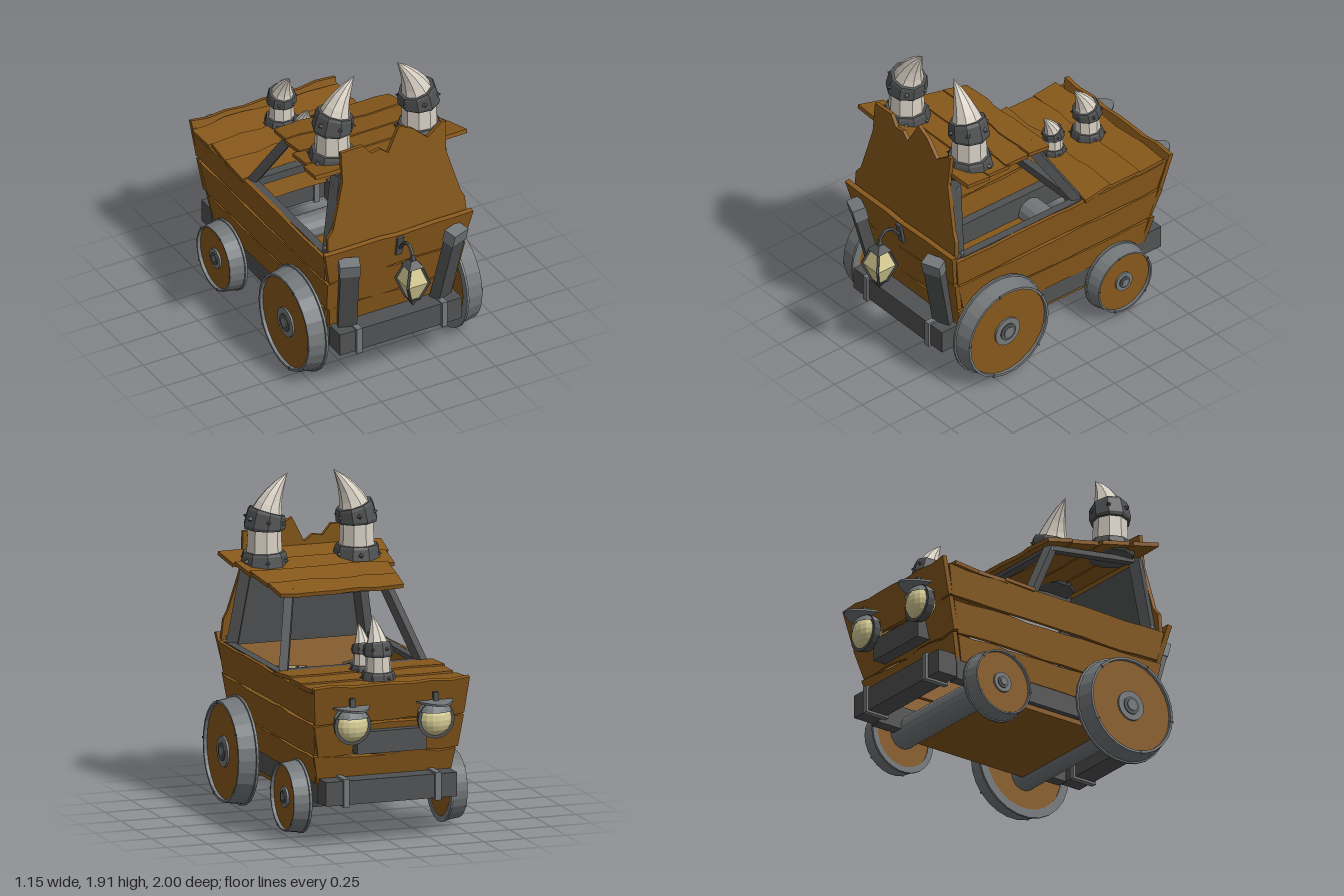
import * as THREE from 'three';

const V = (x, y, z) => new THREE.Vector3(x, y, z);
const mat = (color) => new THREE.MeshStandardMaterial({ color, flatShading: true, side: THREE.DoubleSide, roughness: 0.9 });

export function createModel() {
  const model = new THREE.Group();
  const wood = mat(0x87581b), iron = mat(0x505152), steel = mat(0x74787a), bone = mat(0xd6cec2), glass = mat(0xd8cd96);
  let seed = 7;
  const rnd = () => ((seed = (seed * 16807) % 2147483647) / 2147483647) * 2 - 1;

  function add(name, geo, material, parent = model) {
    const m = new THREE.Mesh(geo, material);
    m.name = name;
    parent.add(m);
    return m;
  }
  function box(name, material, size, pos, parent) {
    const m = add(name, new THREE.BoxGeometry(...size), material, parent);
    m.position.set(...pos);
    return m;
  }
  // Square beam between two points
  function beam(name, material, a, b, w, h, parent) {
    const m = add(name, new THREE.BoxGeometry(w, h, a.distanceTo(b)), material, parent);
    m.position.copy(a).lerp(b, 0.5);
    m.lookAt(b);
    return m;
  }
  // Closed skin over a row of rings, wound outward
  function loft(rings) {
    const tris = [], k = rings[0].length, last = rings.length - 1;
    for (let i = 0; i < last; i++) for (let j = 0; j < k; j++) {
      const a = rings[i][j], b = rings[i][(j + 1) % k], c = rings[i + 1][(j + 1) % k], d = rings[i + 1][j];
      tris.push([a, b, c], [a, c, d]);
    }
    for (let j = 1; j < k - 1; j++) {
      tris.push([rings[0][0], rings[0][j + 1], rings[0][j]], [rings[last][0], rings[last][j], rings[last][j + 1]]);
    }
    const o = rings[0][0];
    let vol = 0;
    for (const [a, b, c] of tris) vol += a.clone().sub(o).dot(b.clone().sub(o).cross(c.clone().sub(o)));
    const pts = tris.flatMap((t) => (vol < 0 ? [t[0], t[2], t[1]] : t));
    const g = new THREE.BufferGeometry().setFromPoints(pts);
    g.computeVertexNormals();
    return g;
  }
  // Rough plank: lower edge a-b, upper edge c-d, with uneven edges and ends
  function plank(name, a, b, c, d, thick, rough = 0.009, n = 9) {
    const across = c.clone().sub(a).normalize(), along = b.clone().sub(a).normalize();
    const off = along.clone().cross(across).normalize().multiplyScalar(thick / 2);
    const rings = [];
    for (let i = 0; i <= n; i++) {
      const end = i === 0 || i === n ? rough * 1.2 : 0;
      const p = a.clone().lerp(b, i / n).addScaledVector(across, rnd() * rough).addScaledVector(along, rnd() * end);
      const q = c.clone().lerp(d, i / n).addScaledVector(across, rnd() * rough).addScaledVector(along, rnd() * end);
      rings.push([p.clone().sub(off), q.clone().sub(off), q.clone().add(off), p.clone().add(off)]);
    }
    return add(name, loft(rings), wood);
  }

  // Tub of planks that flares upward
  const wallX = (y) => 0.4 + (y - 0.37) * 0.115;
  const frontZ = (y) => 0.63 + (y - 0.37) * 0.2;
  const backZ = (y) => -0.68 - (y - 0.37) * 0.25;
  for (const [y0, y1] of [[0.35, 0.505], [0.515, 0.705], [0.72, 0.9]]) {
    for (const s of [-1, 1]) {
      const p = (y, z) => V(s * wallX(y), y, z(y));
      plank('sidePlank', p(y0, frontZ), p(y0, backZ), p(y1, frontZ), p(y1, backZ), 0.025, 0.007, 11);
    }
    for (const [name, z] of [['frontPlank', frontZ], ['backPlank', backZ]]) {
      const top = y1 > 0.8 ? 0.94 : y1 + 0.005;
      const p = (s, y) => V(s * (wallX(y) + 0.012), y, z(y) + Math.sign(z(y)) * 0.015);
      plank(name, p(-1, y0), p(1, y0), p(-1, top), p(1, top), 0.03, 0.012, 8);
    }
  }
  box('floor', wood, [0.76, 0.03, 0.85], [0, 0.215, -0.03]);

  // Chassis rails, axles and bumpers
  for (const s of [-1, 1]) {
    box('chassisRail', iron, [0.07, 0.14, 1.34], [s * 0.37, 0.305, -0.03]);
    beam('cabinSill', iron, V(s * 0.43, 0.89, 0.68), V(s * 0.43, 0.89, -0.2), 0.05, 0.03);
  }
  for (const z of [0.43, -0.46]) {
    const axle = add('axle', new THREE.CylinderGeometry(0.085, 0.085, 0.94, 14), steel);
    axle.rotation.z = Math.PI / 2;
    axle.position.set(0, 0.25, z);
  }
  for (const z of [0.72, -0.765]) {
    box('bumper', iron, [0.8, 0.14, 0.13], [0, 0.315, z]);
    for (const s of [-1, 1]) box('bumperBand', steel, [0.035, 0.165, 0.16], [s * 0.28, 0.315, z]);
  }
  for (const s of [-1, 1]) {
    beam('frontPost', iron, V(s * 0.305, 0.36, 0.69), V(s * 0.35, 0.86, 0.805), 0.11, 0.07);
    beam('frontPostCap', steel, V(s * 0.345, 0.8, 0.79), V(s * 0.352, 0.88, 0.808), 0.12, 0.08);
  }
  box('rearBlock', iron, [0.42, 0.13, 0.12], [0, 0.6, -0.775]);

  // Wheels: flanged tapering rim, wooden disc, stepped hub
  function wheel(s, r, y, z, x0, x1) {
    const g = new THREE.Group();
    g.name = 'wheel';
    const w = x1 - x0, P = (a, b) => new THREE.Vector2(a, b);
    add('rim', new THREE.LatheGeometry([P(r * 0.84, 0), P(r, 0), P(r, 0.014), P(r * 0.97, 0.016), P(r * 0.915, w),
      P(r * 0.87, w), P(r * 0.87, w - 0.03), P(r * 0.84, 0)], 26), steel, g);
    const cyl = (name, m, rad, h, yy) => { add(name, new THREE.CylinderGeometry(rad, rad, h, 22), m, g).position.y = yy; };
    cyl('disc', wood, r * 0.88, w - 0.025, (w - 0.025) / 2 + 0.005);
    cyl('hubPlate', steel, r * 0.28, 0.012, w - 0.014);
    cyl('hubRing', iron, r * 0.17, 0.02, w - 0.012);
    cyl('hubCap', steel, r * 0.1, 0.03, w - 0.012);
    for (let i = 0; i < 5; i++) {
      const a = (i / 5) * Math.PI * 2 + 0.4;
      const clip = box('rimJoint', iron, [r * 0.07, 0.006, 0.01], [Math.cos(a) * r * 0.89, w, Math.sin(a) * r * 0.89], g);
      clip.rotation.y = -a;
    }
    g.rotation.z = (-s * Math.PI) / 2;
    g.position.set(s * x0, y, z);
    model.add(g);
  }
  for (const s of [-1, 1]) {
    wheel(s, 0.32, 0.322, 0.43, 0.455, 0.57);
    wheel(s, 0.215, 0.235, -0.46, 0.425, 0.53);
  }

  // Tall jagged front panel with an iron backing sheet
  const panel = (pts) => new THREE.Shape(pts.map(([x, y]) => new THREE.Vector2(x, y - 0.9)));
  const front = add('frontPanel', new THREE.ExtrudeGeometry(panel([[-0.45, 0.91], [0.46, 0.91], [0.45, 1.03], [0.425, 1.08], [0.345, 1.36],
    [0.35, 1.55], [0.325, 1.55], [0.23, 1.48], [0.14, 1.565], [0.05, 1.61], [-0.03, 1.46], [-0.08, 1.5], [-0.14, 1.49], [-0.19, 1.555],
    [-0.335, 1.55], [-0.335, 1.36], [-0.41, 1.07], [-0.45, 1.02]]), { depth: 0.025, bevelEnabled: false }), wood);
  front.position.set(0, 0.9, 0.715);
  front.rotation.x = -0.09;
  const sheet = add('backingSheet', new THREE.ExtrudeGeometry(panel([[-0.41, 0.88], [0.41, 0.88], [0.33, 1.37], [-0.33, 1.37]]),
    { depth: 0.02, bevelEnabled: false }), iron);
  sheet.position.set(0, 0.9, 0.685);
  sheet.rotation.x = -0.09;

  // Cabin frame
  for (const s of [-1, 1]) {
    beam('cabinPost', iron, V(s * 0.41, 0.88, 0.675), V(s * 0.33, 1.38, 0.635), 0.06, 0.065);
    beam('windscreenPost', iron, V(s * 0.42, 0.9, -0.19), V(s * 0.29, 1.32, 0.06), 0.05, 0.055);
    beam('roofRail', iron, V(s * 0.33, 1.375, 0.66), V(s * 0.29, 1.3, 0.03), 0.05, 0.03);
    for (const [x, y, z] of [[0.435, 0.93, 0.67], [0.365, 1.33, 0.64], [0.32, 1.29, 0.04]]) {
      const rivet = add('rivet', new THREE.CylinderGeometry(0.013, 0.013, 0.02, 6), steel);
      rivet.rotation.z = Math.PI / 2;
      rivet.position.set(s * x, y, z);
    }
  }
  box('dashBeam', iron, [0.86, 0.05, 0.06], [0, 0.89, -0.19]);
  beam('roofCrossBeam', iron, V(-0.3, 1.3, 0.05), V(0.3, 1.3, 0.05), 0.05, 0.03);

  // Roof and bonnet planks
  const roofY = (z) => 1.312 + (z + 0.02) * 0.157;
  [[0.675, 0.5, 0.49], [0.505, 0.325, 0.455], [0.33, 0.135, 0.42], [0.14, -0.03, 0.385]].forEach(([z0, z1, w]) => {
    const y0 = roofY(z0) + 0.008, y1 = roofY(z1);
    plank('roofPlank', V(-w, y0, z0), V(w, y0, z0), V(-w + 0.02, y1, z1), V(w - 0.02, y1, z1), 0.024, 0.012);
  });
  [[-0.21, -0.405, 0.48], [-0.4, -0.605, 0.465], [-0.6, -0.79, 0.485]].forEach(([z0, z1, w]) =>
    plank('bonnetPlank', V(-w, 0.905, z0), V(w, 0.905, z0), V(-w, 0.915, z1), V(w, 0.915, z1), 0.022, 0.014));

  // Curved horn with studded collars, bending toward dir
  function horn(base, dir, H, r) {
    const g = new THREE.Group();
    g.name = 'horn';
    const side = dir.clone().cross(V(0, 1, 0));
    const frame = (h) => {
      const k = Math.max(0, h - 0.35);
      const p = base.clone().addScaledVector(dir, 0.66 * k * k * H).add(V(0, h * H, 0));
      const t = V(0, 1, 0).addScaledVector(dir, 1.32 * k).normalize();
      return [p, side.clone().cross(t).normalize()];
    };
    const ring = (h, rad) => {
      const [p, u] = frame(h);
      return Array.from({ length: 9 }, (_, i) => {
        const a = (i / 9) * Math.PI * 2;
        return p.clone().addScaledVector(u, Math.cos(a) * rad).addScaledVector(side, Math.sin(a) * rad);
      });
    };
    const rad = (h) => r * (h < 0.55 ? 1 - 0.2 * h : 0.89 * Math.pow((1 - h) / 0.45, 0.85) + 0.005);
    add('hornCore', loft([0, 0.2, 0.4, 0.55, 0.66, 0.77, 0.88, 1].map((h) => ring(h, rad(h)))), bone, g);
    for (const [h0, h1, k0, k1] of [[-0.04, 0.14, 1.32, 1.2], [0.39, 0.59, 1.14, 1.06]]) {
      add('collar', loft([ring(h0, r * k0 * 0.95), ring(h0 + 0.03, r * k0), ring(h1 - 0.03, r * k1), ring(h1, r * k1 * 0.94)]), iron, g);
      const [p, u] = frame((h0 + h1) / 2);
      for (let i = 0; i < 6; i++) {
        const a = (i / 6) * Math.PI * 2 + 0.35;
        const out = u.clone().multiplyScalar(Math.cos(a)).addScaledVector(side, Math.sin(a));
        const stud = add('stud', new THREE.ConeGeometry(r * 0.17, r * 0.24, 4), iron, g);
        stud.position.copy(p).addScaledVector(out, r * (k0 + k1) * 0.5 + r * 0.03);
        stud.quaternion.setFromUnitVectors(V(0, 1, 0), out);
      }
    }
    model.add(g);
  }
  for (const s of [-1, 1]) horn(V(s * 0.285, 1.39, 0.49), V(-s, 0, 0), 0.52, 0.108);
  horn(V(0, 0.915, -0.61), V(0, 0, 1), 0.355, 0.078);
  horn(V(0, 0.915, -0.36), V(0, 0, 1), 0.265, 0.058);

  // Headlamps with hooded lids and pointed visors
  const peak = new THREE.Shape();
  peak.moveTo(-0.11, 0);
  peak.quadraticCurveTo(-0.09, 0.075, -0.035, 0.135);
  peak.quadraticCurveTo(0, 0.165, 0.035, 0.135);
  peak.quadraticCurveTo(0.09, 0.075, 0.11, 0);
  for (const s of [-1, 1]) {
    const g = new THREE.Group();
    g.name = 'headlamp';
    g.position.set(s * 0.255, 0.715, -0.85);
    const shell = add('lampHousing', new THREE.CylinderGeometry(0.1, 0.113, 0.055, 16), iron, g);
    shell.rotation.x = Math.PI / 2;
    add('lampLens', new THREE.SphereGeometry(0.1, 16, 10), glass, g).scale.z = 0.8;
    const lid = add('lampLid', new THREE.SphereGeometry(0.112, 16, 5, 0, Math.PI * 2, 0, Math.PI * 0.36), steel, g);
    lid.scale.z = 0.85;
    const visor = add('lampVisor', new THREE.ExtrudeGeometry(peak, { depth: 0.012, bevelEnabled: false }), steel, g);
    visor.rotation.x = -Math.PI / 2;
    visor.position.set(0, 0.098, 0.0);
    box('lampKnob', iron, [0.03, 0.06, 0.025], [0, 0.13, -0.02], g);
    model.add(g);
  }

  // Hanging lantern on a hook
  const lantern = new THREE.Group();
  lantern.name = 'lantern';
  lantern.position.set(0, 0, 0.92);
  model.add(lantern);
  const prism = (name, m, top, bottom, y0, y1) => {
    const q = add(name, new THREE.CylinderGeometry(top * Math.SQRT2, bottom * Math.SQRT2, y1 - y0, 4), m, lantern);
    q.rotation.y = Math.PI / 4;
    q.position.y = (y0 + y1) / 2;
  };
  prism('lanternGlass', glass, 0.037, 0.068, 0.71, 0.81);
  prism('lanternGlass', glass, 0.068, 0.028, 0.595, 0.71);
  prism('lanternCap', iron, 0.018, 0.05, 0.81, 0.85);
  prism('lanternFinial', iron, 0.008, 0.014, 0.85, 0.885);
  prism('lanternBase', iron, 0.036, 0.022, 0.575, 0.6);
  prism('lanternTip', iron, 0.018, 0.003, 0.54, 0.575);
  for (const sx of [-1, 1]) for (const sz of [-1, 1]) {
    const corner = (h, y) => V(sx * h, y, 0.92 + sz * h);
    // lantern ribs are placed in model space
    beam('lanternRib', iron, corner(0.036, 0.815), corner(0.071, 0.71), 0.013, 0.013);
    beam('lanternRib', iron, corner(0.071, 0.71), corner(0.029, 0.59), 0.013, 0.013);
  }
  const hook = new THREE.CatmullRomCurve3([V(0, 0.83, 0.745), V(0, 0.87, 0.79), V(0, 0.915, 0.83), V(0, 0.925, 0.88), V(0, 0.88, 0.92)]);
  add('lanternHook', new THREE.TubeGeometry(hook, 12, 0.011, 6), iron);
  box('hookPlate', iron, [0.04, 0.13, 0.02], [0, 0.86, 0.765]).rotation.x = 0.2;

  return model;
}
